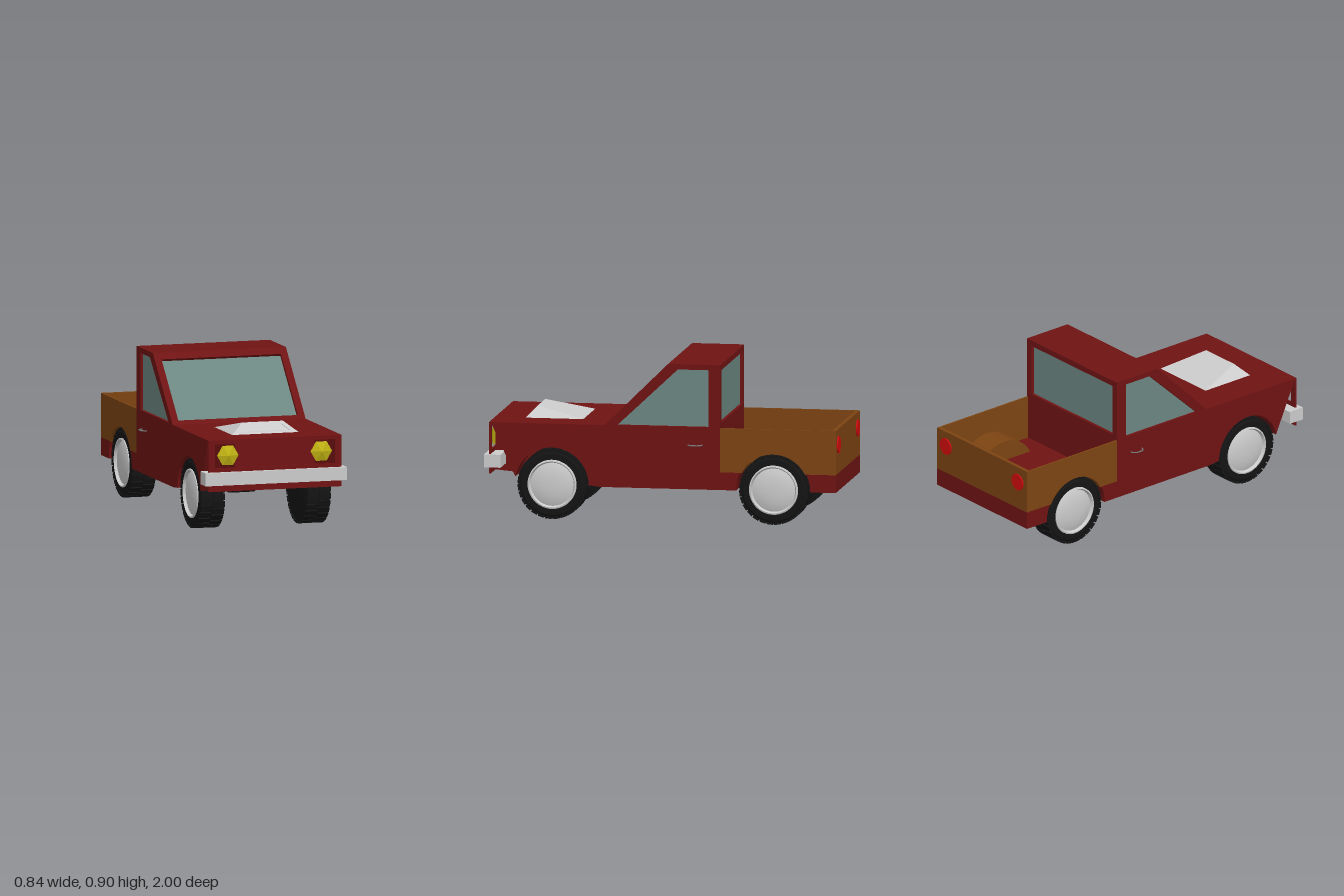
import * as THREE from 'three';
import { mergeGeometries, toCreasedNormals } from 'three/addons/utils/BufferGeometryUtils.js';

const mat = (color) => new THREE.MeshStandardMaterial({ color });
const RED = mat(0x701313), WOOD = mat(0x7d4412), GLASS = mat(0x6c8782), GREY = mat(0xcccccc);
const TYRE = mat(0x141414), YELLOW = mat(0xc2b414), LAMP = mat(0xd00c0c), STEEL = mat(0x777777);
const W = 0.39, WELL = 0.235, AXLE_Y = 0.195, FRONT_Z = 0.62, REAR_Z = -0.635, ARCH = 0.21;
const FLOOR = 0.29, BELT = 0.54, ROOF = 0.895, CAB_BACK = -0.335, TAIL = -0.99;
const FLOOR_ANGLE = Math.asin((FLOOR - AXLE_Y) / ARCH); // where the rear arch meets the bed floor

const poly = (pts) => new THREE.Shape(pts.map(([a, b]) => new THREE.Vector2(a, b)));
const rect = (x0, y0, x1, y1) => poly([[x0, y0], [x1, y0], [x1, y1], [x0, y1]]);
const extrude = (shape, depth) =>
  new THREE.ExtrudeGeometry(shape, { depth, bevelEnabled: false, curveSegments: 24 });

function add(parent, name, geometry, material, x = 0, y = 0, z = 0) {
  const mesh = new THREE.Mesh(geometry, material);
  mesh.name = name;
  mesh.position.set(x, y, z);
  parent.add(mesh);
  return mesh;
}

// Side profile given as (z, y), extruded across x0..x1
function slab(parent, name, shape, x0, x1, material) {
  return add(parent, name, extrude(shape, x1 - x0).rotateY(-Math.PI / 2), material, x1);
}
function slabPair(parent, name, shape, x0, x1, material) {
  slab(parent, name + 'Left', shape, x0, x1, material);
  slab(parent, name + 'Right', shape, -x1, -x0, material);
}
function box(parent, name, [x0, x1], [y0, y1], [z0, z1], material) {
  return add(parent, name, new THREE.BoxGeometry(x1 - x0, y1 - y0, z1 - z0), material,
    (x0 + x1) / 2, (y0 + y1) / 2, (z0 + z1) / 2);
}

function addBody(g) {
  // Centre of the chassis, hood and bed floor
  slab(g, 'bodyCore', poly([[0.965, 0.25], [0.34, 0.19], [TAIL, 0.19], [TAIL, FLOOR],
    [CAB_BACK, FLOOR], [CAB_BACK, BELT], [0.965, BELT]]), -WELL, WELL, RED);

  // Outer sides with wheel arches cut out
  const side = new THREE.Shape();
  side.moveTo(0.965, 0.25);
  side.absarc(FRONT_Z, AXLE_Y, ARCH, 0.2, 3.13, false);
  side.lineTo(0.34, 0.19);
  side.absarc(REAR_Z, AXLE_Y, ARCH, -0.024, FLOOR_ANGLE, false);
  [[CAB_BACK, FLOOR], [CAB_BACK, BELT], [0.965, BELT]].forEach(([z, y]) => side.lineTo(z, y));
  slabPair(g, 'bodySide', side, WELL, W, RED);

  const tail = new THREE.Shape();
  tail.absarc(REAR_Z, AXLE_Y, ARCH, Math.PI - FLOOR_ANGLE, Math.PI + 0.024, false);
  tail.lineTo(TAIL, 0.19);
  tail.lineTo(TAIL, FLOOR);
  slabPair(g, 'rearCorner', tail, WELL, W, RED);

  // Nose panel with a shallow recess for the headlights
  const nose = rect(-W, 0.25, W, BELT);
  nose.holes.push(rect(-0.352, 0.382, 0.352, 0.518));
  add(g, 'nosePanel', extrude(nose, 0.01), RED, 0, 0, 0.965);
}

function addBed(g) {
  const wall = new THREE.Shape();
  wall.moveTo(CAB_BACK, FLOOR);
  wall.lineTo(CAB_BACK, BELT);
  wall.lineTo(TAIL, BELT);
  wall.lineTo(TAIL, FLOOR);
  wall.absarc(REAR_Z, AXLE_Y, ARCH, Math.PI - FLOOR_ANGLE, FLOOR_ANGLE, true);
  slabPair(g, 'bedWall', wall, W - 0.01, W, WOOD);
  box(g, 'tailgate', [-W + 0.01, W - 0.01], [FLOOR, BELT], [TAIL, TAIL + 0.022], WOOD);

  // Curved wheel housings rising through the bed floor
  const shell = new THREE.Shape();
  shell.absarc(REAR_Z, AXLE_Y, ARCH, FLOOR_ANGLE, Math.PI - FLOOR_ANGLE, false);
  shell.absarc(REAR_Z, AXLE_Y, 0.203, Math.PI - FLOOR_ANGLE, FLOOR_ANGLE, true);
  slabPair(g, 'wheelHousing', shell, WELL, W, WOOD);
  const cap = new THREE.Shape();
  cap.absarc(REAR_Z, AXLE_Y, ARCH, FLOOR_ANGLE, Math.PI - FLOOR_ANGLE, false);
  slabPair(g, 'wheelHousingCap', cap, WELL - 0.005, WELL, WOOD);
}

function addCab(g) {
  const cab = new THREE.Group();
  cab.name = 'cab';
  g.add(cab);
  // Side frames and door glass
  const frame = poly([[0.32, BELT], [-0.04, ROOF], [CAB_BACK, ROOF], [CAB_BACK, BELT]]);
  const windowPts = [[0.247, 0.543], [-0.095, 0.865], [-0.27, 0.865], [-0.27, 0.543]];
  frame.holes.push(poly(windowPts));
  slabPair(cab, 'cabSide', frame, W - 0.02, W, RED);
  slabPair(cab, 'sideWindow', poly(windowPts), W - 0.02, W - 0.017, GLASS);
  box(cab, 'roof', [-W, W], [ROOF - 0.02, ROOF], [CAB_BACK, -0.04], RED);

  // Framed pane whose outer face lies at local z = 0
  const pane = (name, height, y0, y1) => {
    const group = new THREE.Group();
    group.name = name;
    const outline = rect(-W, 0, W, height);
    outline.holes.push(rect(-0.35, y0, 0.35, y1));
    add(group, name + 'Frame', extrude(outline, 0.02), RED, 0, 0, -0.02);
    add(group, name + 'Glass', extrude(rect(-0.35, y0, 0.35, y1), 0.003), GLASS, 0, 0, -0.02);
    cab.add(group);
    return group;
  };
  const windshield = pane('windshield', Math.hypot(0.36, 0.355), 0.0285, 0.459);
  windshield.position.set(0, BELT, 0.32);
  windshield.rotation.x = -Math.atan2(0.36, 0.355);
  const rear = pane('rearWindow', ROOF - BELT, 0.025, 0.322);
  rear.position.set(0, BELT, CAB_BACK);
  rear.rotation.y = Math.PI;
}

// Wedge-shaped hood scoop with a recessed inlet
function addScoop(g) {
  const pairs = [[0.195, 0.54, 0.475], [0.12, 0.6, 0.745], [0.105, 0.587, 0.757],
    [0.105, 0.587, 0.735], [0.15, 0.55, 0.769], [0.15, 0.55, 0.791], [0.195, 0.54, 0.8]];
  const pos = [];
  const tri = (...pts) => pts.forEach((p) => pos.push(...p));
  const flip = ([x, y, z]) => [-x, y, z];
  for (let i = 0; i < pairs.length - 1; i++) {
    const a = pairs[i], b = pairs[i + 1];
    tri(flip(a), b, a, flip(a), flip(b), b);
  }
  const [back, top, inTop, deepTop, deepLow, inLow, low] = pairs;
  const sides = [[back, top, low], [top, inTop, low], [inTop, inLow, low],
    [inTop, deepTop, inLow], [deepTop, deepLow, inLow]];
  for (const [a, b, c] of sides) {
    tri(a, b, c);
    tri(flip(a), flip(c), flip(b));
  }
  const geo = new THREE.BufferGeometry();
  geo.setAttribute('position', new THREE.Float32BufferAttribute(pos, 3));
  geo.computeVertexNormals();
  const m = GREY.clone();
  m.side = THREE.DoubleSide;
  add(g, 'hoodScoop', geo, m);
}

function makeWheel(name) {
  const wheel = new THREE.Group();
  wheel.name = name;
  const lathe = (pts) => toCreasedNormals(new THREE.LatheGeometry(
    pts.map(([r, y]) => new THREE.Vector2(r, y)), 48).rotateZ(-Math.PI / 2), 0.5);
  add(wheel, 'tyre', lathe([[0, -0.068], [0.172, -0.068], [0.188, -0.06], [0.188, 0.06],
    [0.172, 0.07], [0.14, 0.07], [0.138, 0.05]]), TYRE);
  add(wheel, 'hub', lathe([[0.138, 0.05], [0.138, 0.074], [0.13, 0.077], [0.122, 0.06],
    [0.1, 0.068], [0.06, 0.075], [0.03, 0.077], [0, 0.078]]), GREY);
  // Two staggered rows of tread blocks
  const blocks = [], count = 28;
  for (let i = 0; i < count * 2; i++) {
    const row = i % 2 ? 1 : -1;
    blocks.push(new THREE.BoxGeometry(0.067, 0.012, 0.035)
      .translate(row * 0.0355, 0.189, 0).rotateX((i / count) * Math.PI));
  }
  add(wheel, 'tread', mergeGeometries(blocks), TYRE);
  return wheel;
}

export function createModel() {
  const g = new THREE.Group();
  g.name = 'pickupTruck';
  addBody(g);
  addBed(g);
  addCab(g);
  addScoop(g);
  box(g, 'frontBumper', [-0.415, 0.415], [0.287, 0.36], [0.905, 1], GREY);

  for (const s of [1, -1]) {
    const label = s > 0 ? 'Left' : 'Right';
    for (const [end, z] of [['front', FRONT_Z], ['rear', REAR_Z]]) {
      const wheel = makeWheel(`${end}${label}Wheel`);
      wheel.position.set(s * 0.31, AXLE_Y, z);
      if (s < 0) wheel.rotation.y = Math.PI;
      g.add(wheel);
    }
    // Faceted headlight and round tail light
    const headlight = new THREE.ConeGeometry(0.063, 0.021, 6).rotateY(Math.PI / 6).rotateX(Math.PI / 2);
    headlight.rotateZ(0);
    const lampMat = YELLOW.clone();
    lampMat.flatShading = true;
    add(g, 'headlight' + label, headlight, lampMat, s * 0.274, 0.452, 0.976);
    add(g, 'tailLight' + label, new THREE.CylinderGeometry(0.048, 0.048, 0.015, 24).rotateX(Math.PI / 2),
      LAMP, s * 0.312, 0.452, -0.99);
    // Bent-bar door handle
    const path = new THREE.CurvePath();
    const pts = [[0.385, -0.152], [0.402, -0.155], [0.418, -0.172], [0.418, -0.208], [0.402, -0.23], [0.385, -0.233]]
      .map(([x, z]) => new THREE.Vector3(s * x, 0.44, z));
    pts.slice(1).forEach((p, i) => path.add(new THREE.LineCurve3(pts[i], p)));
    add(g, 'doorHandle' + label, new THREE.TubeGeometry(path, 30, 0.004, 8), STEEL);
  }
  return g;
}
